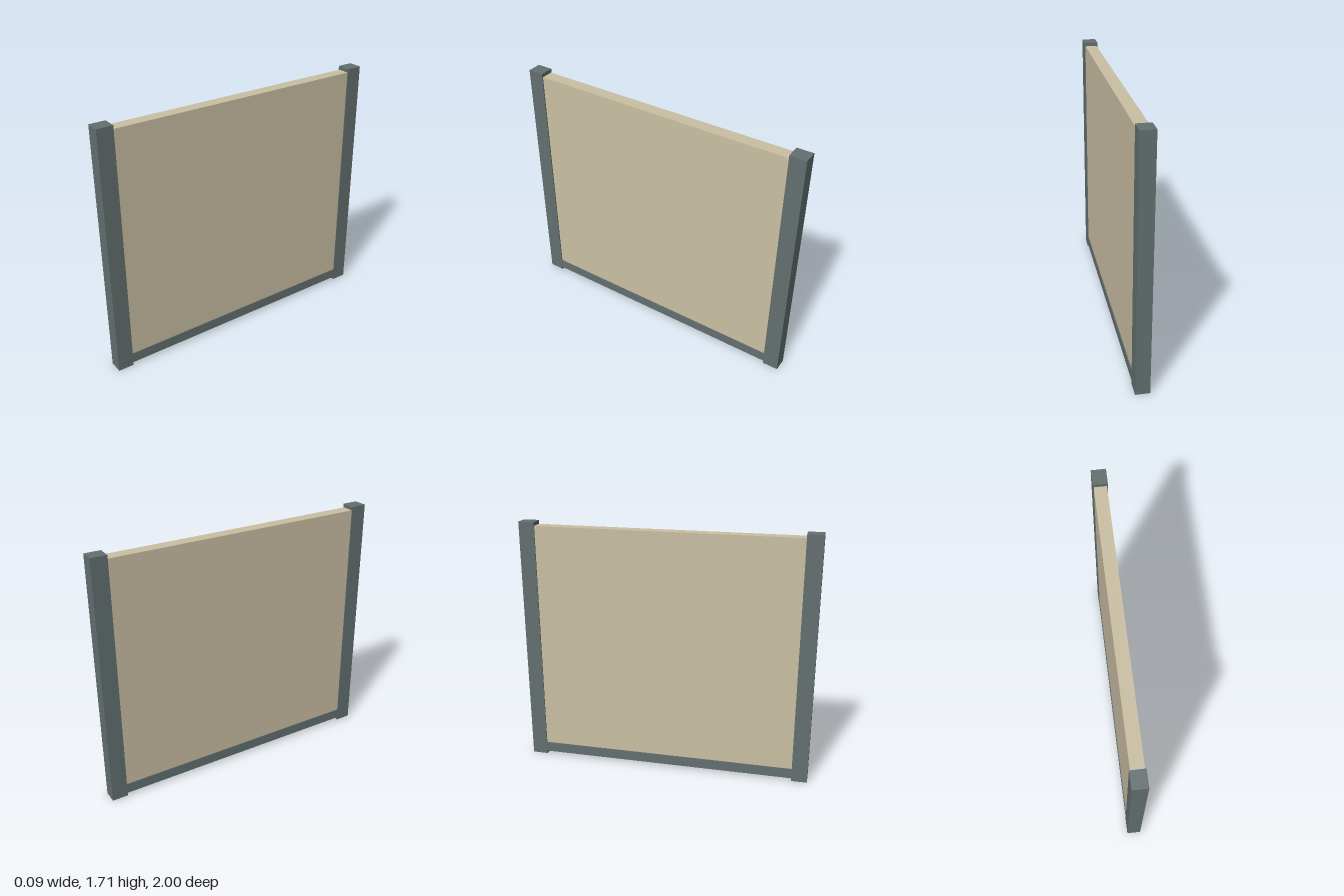
import * as THREE from 'three';

export function createModel() {
  const group = new THREE.Group();
  const frame = new THREE.MeshStandardMaterial({ color: 0x647070 });
  const infill = new THREE.MeshStandardMaterial({ color: 0xcbc0a4 });

  // Box standing on height y0, centred on x = 0
  function block(name, width, height, depth, y0, z, material) {
    const mesh = new THREE.Mesh(new THREE.BoxGeometry(width, height, depth), material);
    mesh.name = name;
    mesh.position.set(0, y0 + height / 2, z);
    group.add(mesh);
  }

  // End posts
  for (const side of [1, -1]) {
    block(side > 0 ? 'frontPost' : 'backPost', 0.095, 1.71, 0.108, 0, side * 0.946, frame);
  }

  // Bottom rail, raised slightly off the ground between the posts
  block('bottomRail', 0.093, 0.07, 1.784, 0.02, 0, frame);

  // Panel, a little thinner than the frame
  block('panel', 0.082, 1.595, 1.784, 0.09, 0, infill);

  return group;
}
